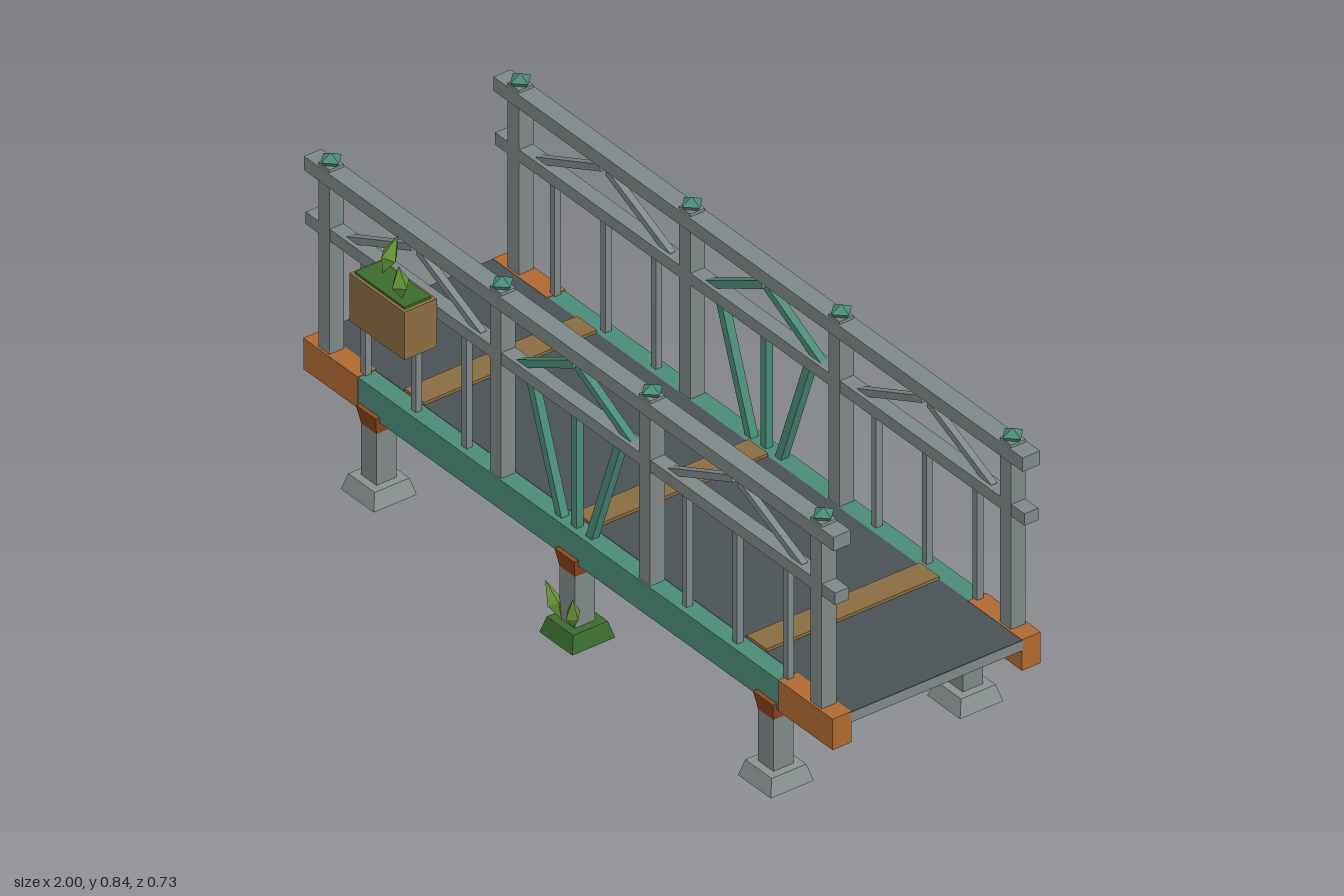
import * as THREE from 'three';

const mat = (name, color) => {
  const m = new THREE.MeshStandardMaterial({ color });
  m.name = name;
  return m;
};

export function createModel() {
  const steel = mat('steel grey', 0x7f8888);
  const stone = mat('stone grey', 0x8a9292);
  const asphalt = mat('dark deck', 0x4a5256);
  const orange = mat('orange beam', 0xb06a30);
  const rust = mat('rust', 0x8f4520);
  const wood = mat('wood', 0x8a6d42);
  const green = mat('painted green', 0x4a8c78);
  const moss = mat('moss', 0x3a6b2e);
  const leafGreen = mat('leaf green', 0x6a9a3a);

  const model = new THREE.Group();
  model.name = 'footbridge';

  const add = (parent, name, geometry, material, x = 0, y = 0, z = 0) => {
    const mesh = new THREE.Mesh(geometry, material);
    mesh.name = name;
    mesh.position.set(x, y, z);
    parent.add(mesh);
    return mesh;
  };
  // Box given by its min and max corners
  const box = (parent, name, material, x0, x1, y0, y1, z0, z1) =>
    add(parent, name, new THREE.BoxGeometry(x1 - x0, y1 - y0, z1 - z0), material,
      (x0 + x1) / 2, (y0 + y1) / 2, (z0 + z1) / 2);
  const faceted = (geometry) => {
    const g = geometry.toNonIndexed();
    g.computeVertexNormals();
    return g;
  };
  // Square frustum from half-widths at the top and bottom
  const frustum = (parent, name, material, top, bottom, y0, y1, x) => {
    const g = new THREE.CylinderGeometry(top * Math.SQRT2, bottom * Math.SQRT2, y1 - y0, 4);
    return add(parent, name, faceted(g.rotateY(Math.PI / 4)), material, x, (y0 + y1) / 2, 0);
  };
  const UP = new THREE.Vector3(0, 1, 0);
  // Square bar between two points in the plane of the railing
  const bar = (parent, name, material, x0, y0, x1, y1, width) => {
    const length = Math.hypot(x1 - x0, y1 - y0);
    const mesh = add(parent, name, new THREE.BoxGeometry(width, length, width), material,
      (x0 + x1) / 2, (y0 + y1) / 2, 0);
    mesh.rotation.z = -Math.atan2(x1 - x0, y1 - y0);
  };
  // Four-sided pointed leaf from root to tip
  const leaf = (parent, root, tip, radius) => {
    const a = new THREE.Vector3(...root);
    const d = new THREE.Vector3(...tip).sub(a);
    const h = d.length();
    const profile = [[0, 0], [radius, h * 0.45], [0, h]].map((p) => new THREE.Vector2(...p));
    const mesh = add(parent, 'leaf', faceted(new THREE.LatheGeometry(profile, 4)), leafGreen, ...root);
    mesh.quaternion.setFromUnitVectors(UP, d.normalize());
  };

  // Deck slab, road surface and cross planks
  box(model, 'deckSlab', steel, -1, 1, 0.272, 0.298, -0.277, 0.222);
  box(model, 'deckSurface', asphalt, -1, 1, 0.298, 0.301, -0.277, 0.222);
  for (const x of [-0.647, 0, 0.647]) {
    box(model, 'crossPlank', wood, x - 0.037, x + 0.037, 0.3, 0.309, -0.277, 0.222);
  }

  // The two sides; "out" points away from the deck
  for (const [name, zc, out] of [['frontSide', 0.245, 1], ['backSide', -0.301, -1]]) {
    const side = new THREE.Group();
    side.name = name;
    side.position.z = zc;
    model.add(side);

    // Edge beam with contrasting ends
    box(side, 'edgeBeam', green, -0.795, 0.795, 0.218, 0.3, -0.025, 0.025);
    box(side, 'beamEnd', orange, -1, -0.795, 0.217, 0.302, -0.027, 0.027);
    box(side, 'beamEnd', orange, 0.795, 1, 0.217, 0.302, -0.027, 0.027);

    // Handrails
    box(side, 'topRail', steel, -1, 1, 0.762, 0.8, -0.025, 0.025);
    box(side, 'middleRail', steel, -1, 1, 0.612, 0.645, -0.02, 0.02);

    // Posts with finials
    for (const x of [-0.93, -0.282, 0.282, 0.93]) {
      box(side, 'post', steel, x - 0.021, x + 0.021, 0.3, 0.808, -0.021, 0.021);
      const profile = [[0, 0.806], [0.019, 0.808], [0.03, 0.82], [0, 0.836]]
        .map((p) => new THREE.Vector2(...p));
      add(side, 'finial', faceted(new THREE.LatheGeometry(profile, 4)), green, x);
    }

    // Balusters and gable braces in the outer bays
    for (const bay of [-0.607, 0.607]) {
      for (const dx of [-0.191, 0, 0.191]) {
        const x = bay + dx;
        box(side, 'baluster', steel, x - 0.009, x + 0.009, 0.3, 0.615, -0.009, 0.009);
      }
      for (const s of [-1, 1]) {
        bar(side, 'gableBrace', steel, bay + s * 0.25, 0.638, bay + s * 0.012, 0.743, 0.018);
      }
    }

    // Green truss in the middle bay
    for (const s of [-1, 1]) {
      bar(side, 'trussGable', green, s * 0.215, 0.635, s * 0.006, 0.743, 0.02);
      bar(side, 'trussDiagonal', green, s * 0.055, 0.295, s * 0.17, 0.62, 0.022);
    }
    bar(side, 'trussUpright', green, 0, 0.295, 0, 0.62, 0.02);

    // Piers
    for (const x of [-0.75, 0, 0.75]) {
      frustum(side, 'pierFoot', x === 0 ? moss : stone, 0.05, 0.062, 0, 0.044, x);
      box(side, 'pierColumn', steel, x - 0.029, x + 0.029, 0.044, 0.19, -0.029, 0.029);
      frustum(side, 'pierCap', rust, 0.0375, 0.029, 0.185, 0.233, x);
    }

    // Leaves on the mossy foot
    for (const s of [-1, 1]) {
      leaf(side, [s * 0.022, 0.042, out * 0.029], [s * 0.052, 0.145, out * 0.053], 0.02);
    }
  }

  // Hanging planter on the front
  const planter = new THREE.Group();
  planter.name = 'planter';
  model.add(planter);
  box(planter, 'planterBox', wood, -0.71, -0.503, 0.536, 0.667, 0.266, 0.36);
  box(planter, 'planterMoss', moss, -0.7, -0.513, 0.667, 0.673, 0.275, 0.352);
  leaf(planter, [-0.548, 0.67, 0.332], [-0.538, 0.772, 0.35], 0.024);
  leaf(planter, [-0.66, 0.67, 0.303], [-0.64, 0.772, 0.275], 0.024);

  return model;
}
